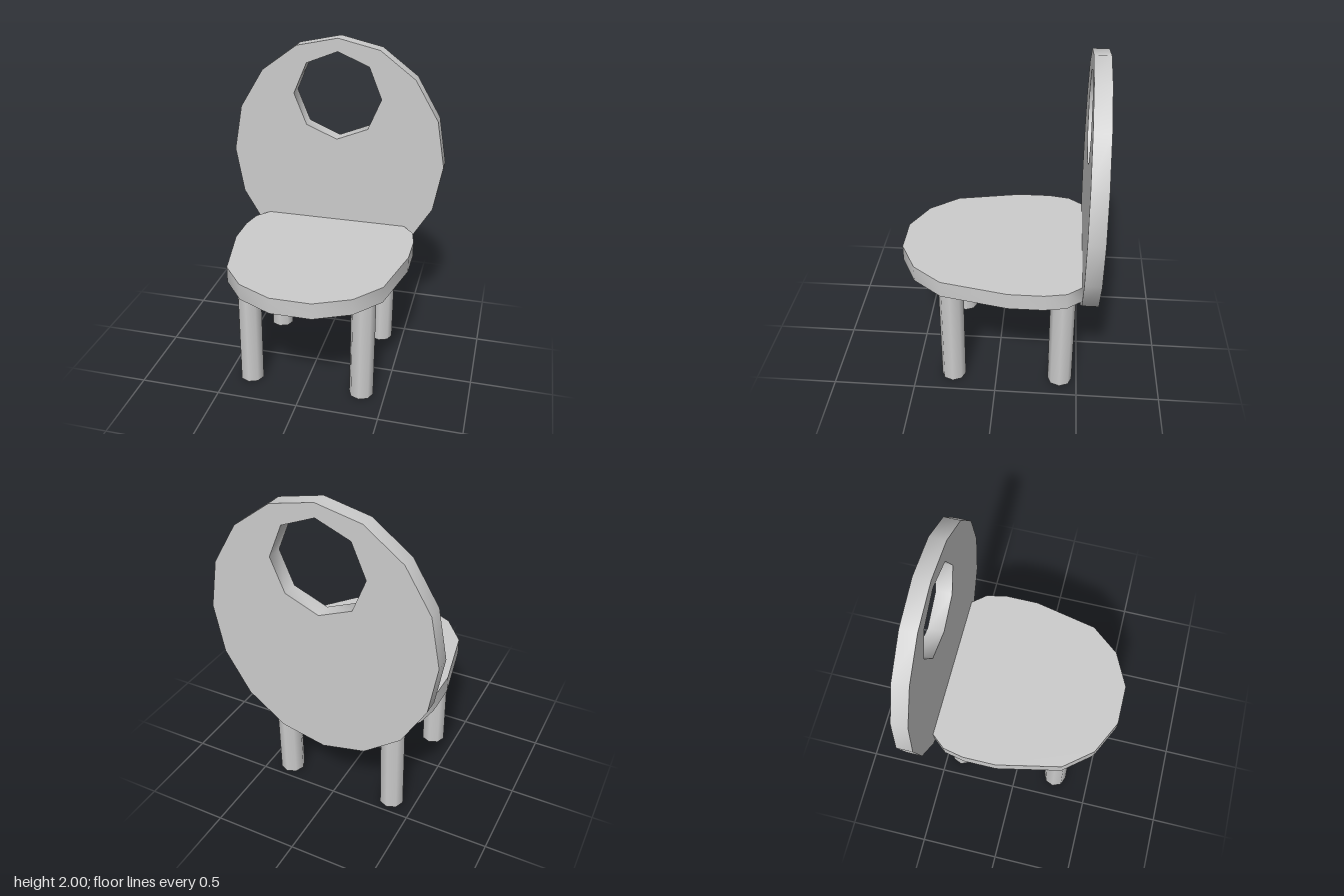
import * as THREE from 'three';
import { toCreasedNormals } from 'three/addons/utils/BufferGeometryUtils.js';

const material = new THREE.MeshStandardMaterial({ color: 0xcccccc });
const openMaterial = new THREE.MeshStandardMaterial({ color: 0xcccccc, side: THREE.DoubleSide });

// Points of a regular polygon stretched to an ellipse, first corner at the top
function ellipse(cy, rx, ry, sides) {
  return Array.from({ length: sides }, (_, i) => {
    const a = (i / sides) * Math.PI * 2;
    return new THREE.Vector2(-rx * Math.sin(a), cy + ry * Math.cos(a));
  });
}

// Flat slab with smooth rim and sharp edges
function slab(shape, depth) {
  const geometry = new THREE.ExtrudeGeometry(shape, { depth, bevelEnabled: false });
  return toCreasedNormals(geometry, Math.PI / 3);
}

function add(group, name, geometry, mat = material) {
  const mesh = new THREE.Mesh(geometry, mat);
  mesh.name = name;
  group.add(mesh);
  return mesh;
}

export function createModel() {
  const chair = new THREE.Group();
  chair.name = 'chair';

  // Oval backrest with an octagonal opening
  const back = new THREE.Shape(ellipse(1.2275, 0.69, 0.7725, 16));
  back.holes.push(new THREE.Path(ellipse(1.636, 0.282, 0.282, 8)));
  add(chair, 'backrest', slab(back, 0.097)).position.z = -0.597;

  // Seat: one half outline as [x, z] from front to back, then mirrored
  const half = [[0.123, 0.593], [0.333, 0.49], [0.473, 0.315], [0.556, -0.08],
    [0.556, -0.285], [0.53, -0.415], [0.46, -0.5]];
  const outline = [...half, ...half.map(([x, z]) => [-x, z]).reverse()];
  const seat = new THREE.Shape(outline.map(([x, z]) => new THREE.Vector2(x, -z)));
  add(chair, 'seat', slab(seat, 0.1).rotateX(-Math.PI / 2)).position.y = 0.69;

  // Four tubular legs, open at the ends
  const legGeometry = new THREE.CylinderGeometry(0.075, 0.075, 0.69, 8, 1, true);
  for (const [end, z] of [['front', 0.27], ['back', -0.395]]) {
    for (const [side, x] of [['Left', 0.353], ['Right', -0.353]]) {
      add(chair, `${end}${side}Leg`, legGeometry, openMaterial).position.set(x, 0.345, z);
    }
  }
  return chair;
}
